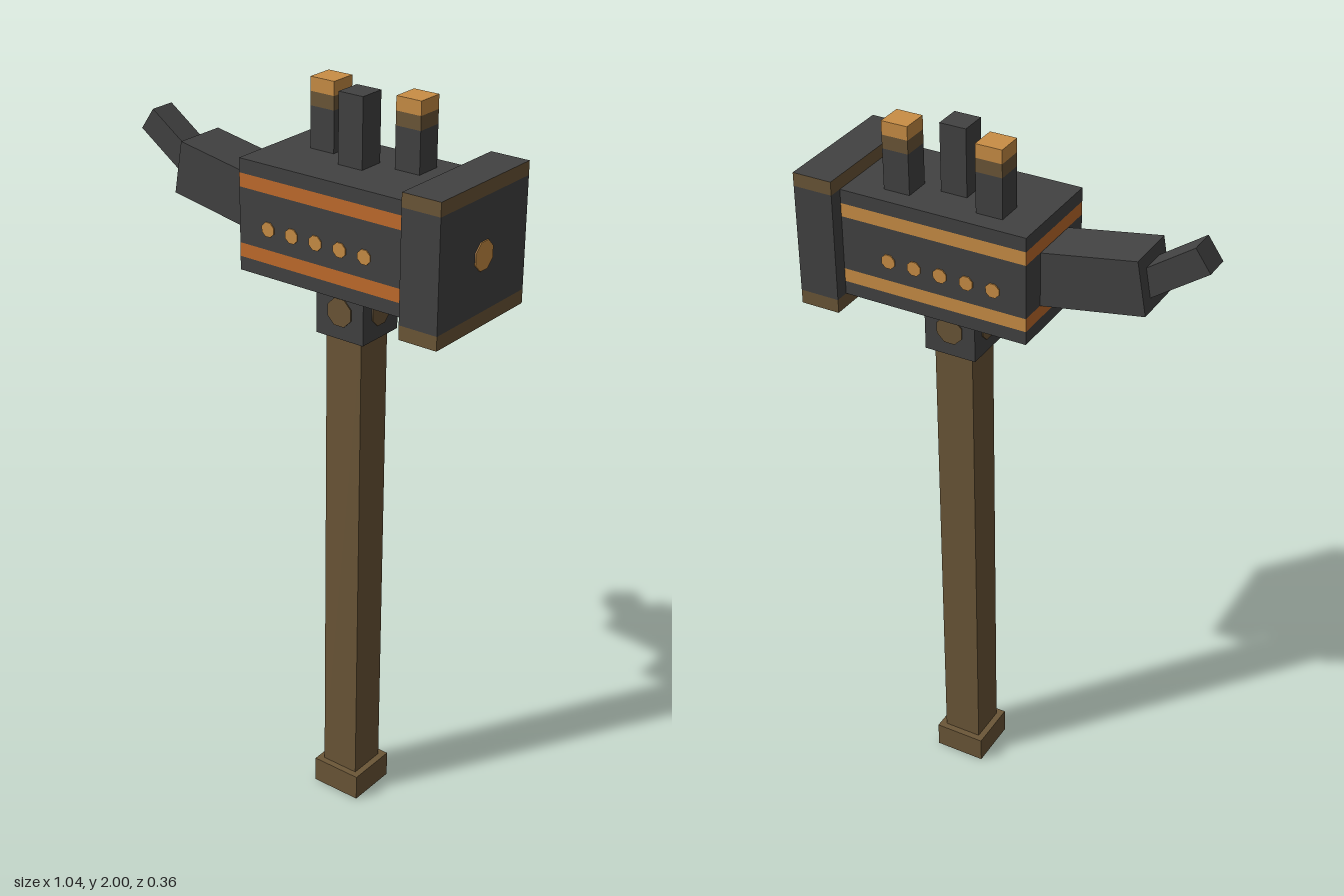
import * as THREE from 'three';

const mat = (name, color) => new THREE.MeshStandardMaterial({ name, color });

export function createModel() {
  const iron = mat('dark iron', 0x424242);
  const wood = mat('brown wood', 0x6b5637);
  const gold = mat('gold', 0xc98e45);
  const copper = mat('copper orange', 0xc06c2c);
  const model = new THREE.Group();
  model.name = 'warHammer';

  // Box given by its min and max corners; material may be an array per face
  function box(name, [x0, y0, z0], [x1, y1, z1], material) {
    const m = new THREE.Mesh(new THREE.BoxGeometry(x1 - x0, y1 - y0, z1 - z0), material);
    m.name = name;
    m.position.set((x0 + x1) / 2, (y0 + y1) / 2, (z0 + z1) / 2);
    model.add(m);
    return m;
  }

  // Thin octagonal stud facing along a direction
  function stud(name, radius, pos, dir, material) {
    const g = new THREE.CylinderGeometry(radius, radius, 0.006, 8);
    g.rotateY(Math.PI / 8);
    const m = new THREE.Mesh(g, material);
    m.name = name;
    m.position.set(...pos);
    m.quaternion.setFromUnitVectors(new THREE.Vector3(0, 1, 0), new THREE.Vector3(...dir));
    model.add(m);
  }

  // Handle, pommel and collar
  const cx = 0.155;
  box('handle', [cx - 0.054, 0.07, -0.054], [cx + 0.054, 1.39, 0.054], wood);
  box('pommel', [cx - 0.072, 0, -0.072], [cx + 0.072, 0.073, 0.072], wood);
  box('collar', [cx - 0.072, 1.385, -0.072], [cx + 0.072, 1.53, 0.072], iron);
  for (const [dx, dz] of [[1, 0], [-1, 0], [0, 1], [0, -1]]) {
    stud('collarStud', 0.039, [cx + dx * 0.072, 1.457, dz * 0.072], [dx, 0, dz], wood);
  }

  // Body in layers: copper bands on the front and ends, gold bands on the back
  const bandFaces = [copper, copper, iron, iron, copper, gold];
  const levels = [1.53, 1.566, 1.602, 1.747, 1.783, 1.82];
  for (let i = 0; i < 5; i++) {
    const band = i % 2 === 1;
    box(band ? 'bodyBand' : 'bodyBlock', [-0.1, levels[i], -0.144], [0.412, levels[i + 1], 0.144],
      band ? bandFaces : iron);
  }
  for (let i = 0; i < 5; i++) {
    for (const s of [1, -1]) {
      stud('bodyStud', 0.02, [-0.01 + i * 0.0727, 1.656, s * 0.144], [0, 0, s], gold);
    }
  }

  // Striking head with brown rims around its sides
  const rimFaces = [wood, wood, iron, iron, wood, wood];
  const rows = [1.493, 1.53, 1.82, 1.856];
  for (let i = 0; i < 3; i++) {
    box(i === 1 ? 'strikingHead' : 'headRim', [0.411, rows[i], -0.182], [0.519, rows[i + 1], 0.182],
      i === 1 ? iron : rimFaces);
  }
  stud('headStud', 0.039, [0.519, 1.674, 0], [1, 0, 0], gold);

  // Two capped chimneys and a plain one between them
  for (const x of [-0.009, 0.246]) {
    const layers = [['chimney', 1.82, 1.928, iron], ['chimneyRing', 1.928, 1.964, wood],
      ['chimneyCap', 1.964, 2, gold]];
    for (const [name, y0, y1, m] of layers) box(name, [x, y0, -0.092], [x + 0.072, y1, -0.02], m);
  }
  box('middleChimney', [0.119, 1.82, -0.036], [0.191, 2, 0.036], iron);

  // Bent spike: each segment starts at its outer end and slopes down inward
  function segment(name, x, y, length, thick, degrees) {
    const g = new THREE.BoxGeometry(length, thick, thick);
    g.translate(length / 2, 0, 0);
    const m = new THREE.Mesh(g, iron);
    m.name = name;
    m.position.set(x, y, 0);
    m.rotation.z = -degrees * Math.PI / 180;
    model.add(m);
  }
  segment('spikeBase', -0.365, 1.72, 0.36, 0.143, 10);
  segment('spikeTip', -0.499, 1.813, 0.18, 0.071, 35);

  return model;
}
